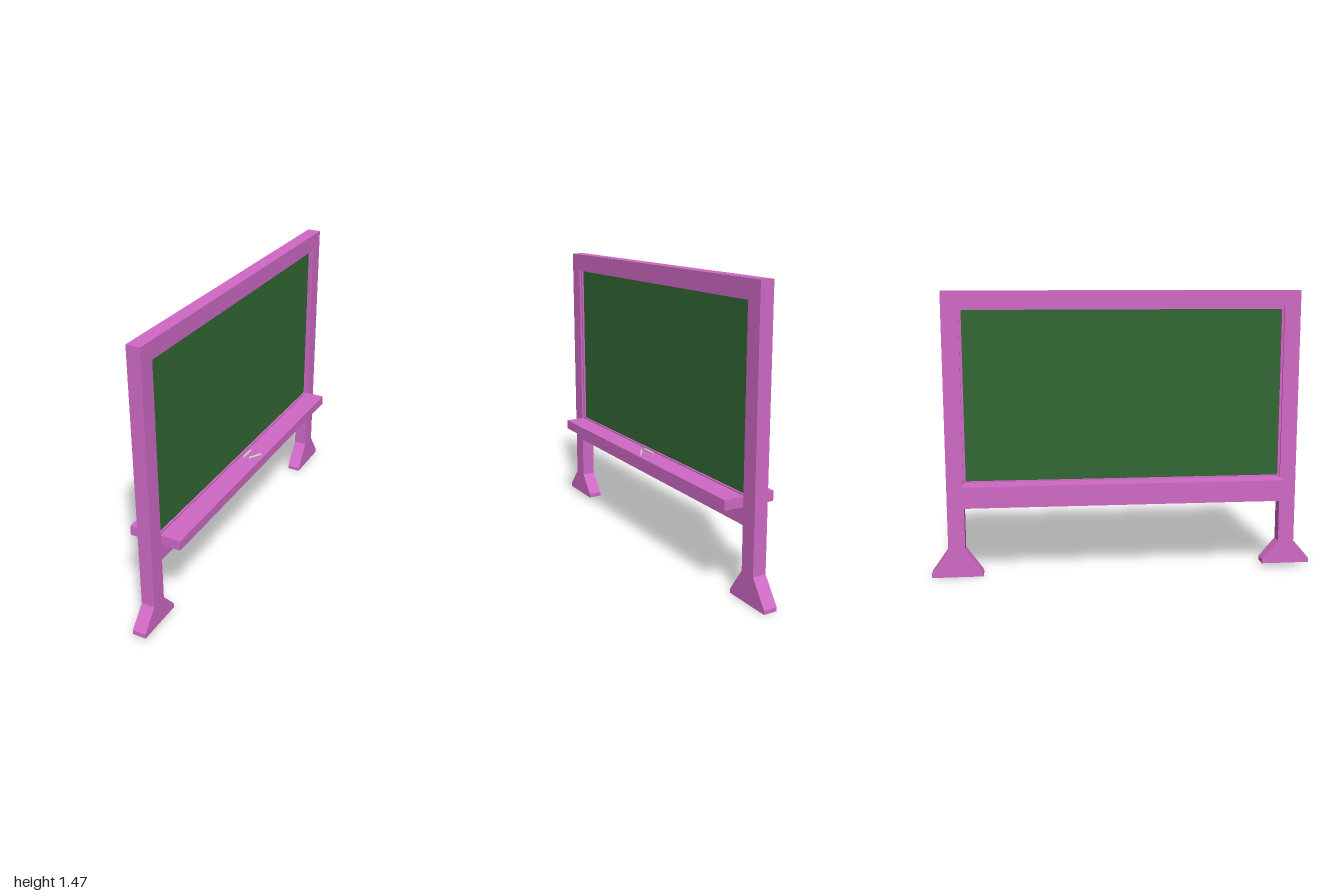
import * as THREE from 'three';

const CENTER_X = -0.003;

function material(color) {
  return new THREE.MeshStandardMaterial({ color, flatShading: true });
}

// Extrudes a (z, y) outline along x, centred on the board's plane
function slab(shape, thickness) {
  const geometry = new THREE.ExtrudeGeometry(shape, { depth: thickness, bevelEnabled: false });
  geometry.rotateY(-Math.PI / 2);
  geometry.translate(CENTER_X + thickness / 2, 0, 0);
  return geometry;
}

function outline(points) {
  return new THREE.Shape(points.map(([z, y]) => new THREE.Vector2(z, y)));
}

function rectPoints(z0, y0, z1, y1) {
  return [[z0, y0], [z1, y0], [z1, y1], [z0, y1]];
}

export function createModel() {
  const group = new THREE.Group();
  const pink = material(0xd069c6);
  const green = material(0x326834);
  const white = material(0xe8e8e8);

  function add(name, geometry, mat) {
    const mesh = new THREE.Mesh(geometry, mat);
    mesh.name = name;
    group.add(mesh);
    return mesh;
  }

  // Frame with both legs and flared feet in one outline
  const frame = outline([
    [-0.912, 1.472], [-0.912, 0.145], [-1, 0.02], [-1, 0], [-0.735, 0], [-0.735, 0.018],
    [-0.825, 0.145], [-0.825, 0.365], [0.83, 0.365], [0.83, 0.145], [0.745, 0.044],
    [0.745, 0.022], [1, 0.022], [1, 0.044], [0.914, 0.145], [0.914, 1.472],
  ]);
  frame.holes.push(outline(rectPoints(-0.825, 0.49, 0.83, 1.385)));
  add('frame', slab(frame, 0.07), pink);

  // Thin inner trim holding the writing surface
  const trim = outline(rectPoints(-0.825, 0.49, 0.83, 1.385));
  trim.holes.push(outline(rectPoints(-0.813, 0.505, 0.818, 1.377)));
  add('innerTrim', slab(trim, 0.05), pink);

  // Two-sided writing surface
  add('board', slab(outline(rectPoints(-0.82, 0.495, 0.825, 1.38)), 0.03), green);

  // Ledge on each side
  for (const [name, x0, x1] of [['leftTray', 0.025, 0.132], ['rightTray', -0.137, -0.03]]) {
    const tray = add(name, new THREE.BoxGeometry(x1 - x0, 0.05, 1.652), pink);
    tray.position.set((x0 + x1) / 2, 0.475, 0.002);
  }

  // Sticks of chalk lying on the left tray
  const sticks = [[0.047, -0.042, 0.047, 0.035], [0.113, -0.034, 0.074, 0.031]];
  for (const [x0, z0, x1, z1] of sticks) {
    const length = Math.hypot(x1 - x0, z1 - z0);
    const geometry = new THREE.CylinderGeometry(0.006, 0.006, length, 8).rotateX(Math.PI / 2);
    const chalk = add('chalk', geometry, white);
    chalk.position.set((x0 + x1) / 2, 0.506, (z0 + z1) / 2);
    chalk.rotation.y = Math.atan2(x1 - x0, z1 - z0);
  }

  return group;
}
